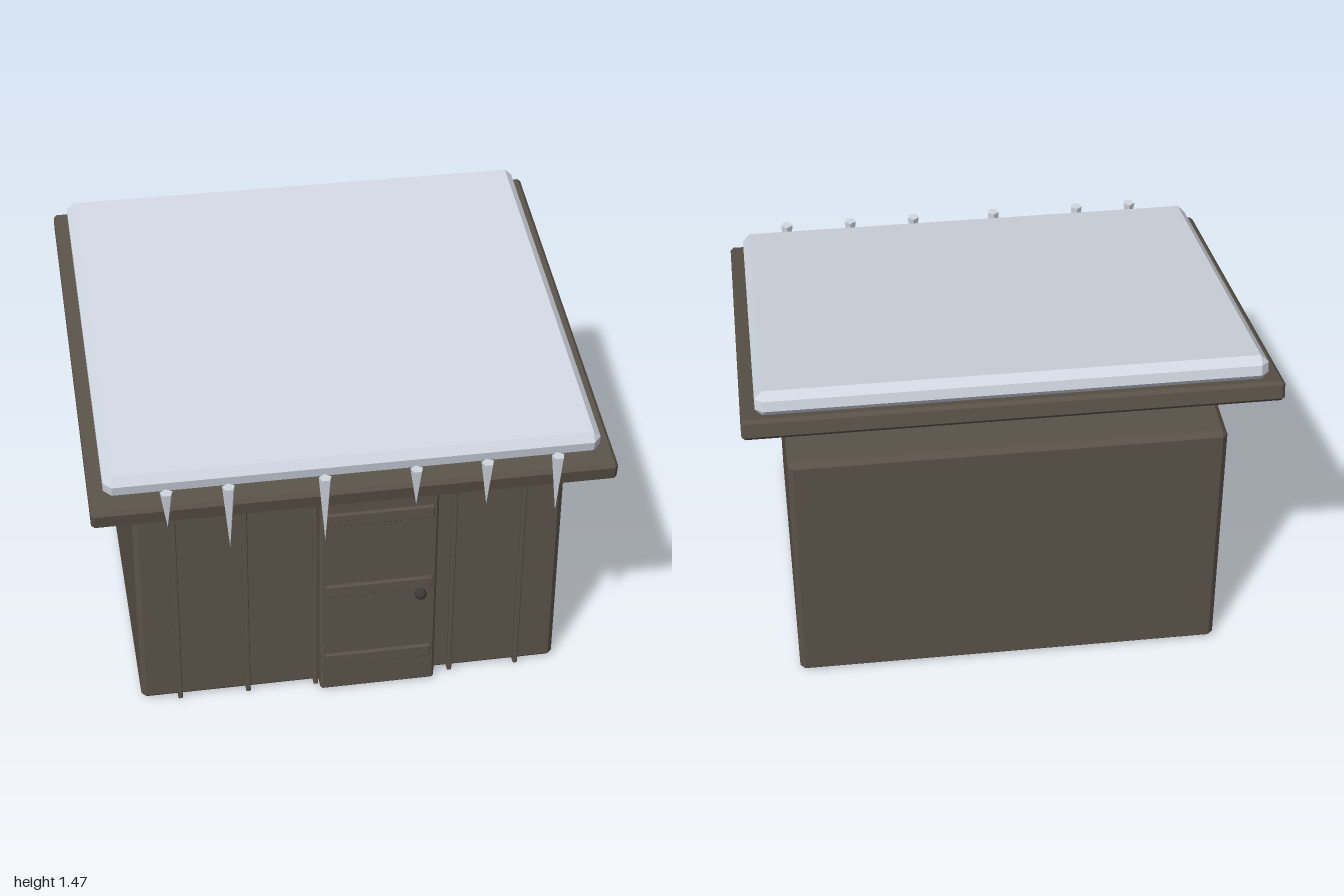
import * as THREE from 'three';
import { ConvexGeometry } from 'three/addons/geometries/ConvexGeometry.js';

const mat = (name, color) => {
  const m = new THREE.MeshStandardMaterial({ color, flatShading: true });
  m.name = name;
  return m;
};

// Box with every edge cut at 45 degrees
function chamferBox(w, h, d, c) {
  const x = w / 2, y = h / 2, z = d / 2, pts = [];
  for (const i of [-1, 1]) for (const j of [-1, 1]) for (const k of [-1, 1]) {
    pts.push(
      new THREE.Vector3(i * x, j * (y - c), k * (z - c)),
      new THREE.Vector3(i * (x - c), j * y, k * (z - c)),
      new THREE.Vector3(i * (x - c), j * (y - c), k * z));
  }
  return new ConvexGeometry(pts);
}

export function createModel() {
  const model = new THREE.Group();
  model.name = 'snowyShed';
  const wood = mat('darkWood', 0x5a5248);
  const snow = mat('snowAndIce', 0xd0d6e0);
  const iron = mat('darkIron', 0x3b3835);

  const add = (name, geometry, material, x, y, z, tilt = 0) => {
    const mesh = new THREE.Mesh(geometry, material);
    mesh.name = name;
    mesh.position.set(x, y, z);
    mesh.rotation.x = tilt;
    model.add(mesh);
    return mesh;
  };
  // Place a chamfered box by its limits
  const block = (name, [x0, x1], [y0, y1], [z0, z1], c) =>
    add(name, chamferBox(x1 - x0, y1 - y0, z1 - z0, c), wood,
      (x0 + x1) / 2, (y0 + y1) / 2, (z0 + z1) / 2);

  // Hut body
  block('walls', [-0.84, 0.84], [0.003, 1.055], [-0.7, 0.668], 0.02);

  // Vertical battens over the plank joints
  for (let i = 0; i < 6; i++) {
    const x = -0.687 + i * 0.2735;
    block('batten', [x - 0.009, x + 0.009], [0.005, 1.02], [0.65, 0.688], 0.003);
  }

  // Door with three cross boards and a lintel
  block('door', [-0.127, 0.335], [0.004, 0.945], [0.65, 0.724], 0.01);
  for (const y of [0.161, 0.503, 0.845]) {
    block('doorBoard', [-0.11, 0.315], [y - 0.027, y + 0.027], [0.71, 0.739], 0.004);
  }
  block('lintel', [-0.2, 0.41], [0.954, 1.005], [0.65, 0.755], 0.005);
  add('doorKnob', new THREE.IcosahedronGeometry(0.024, 1), iron, 0.267, 0.457, 0.743);

  // Roof slab and the snow lying on it, both rising to the back
  const slope = 0.2;
  add('roof', chamferBox(2, 0.08, 1.73, 0.013), wood, 0, 1.186, -0.017, slope);
  add('snowLayer', chamferBox(1.89, 0.1, 1.635, 0.03), snow, 0, 1.27, -0.025, slope);

  // Icicles along the front eave: x and tip height
  const top = 1.135;
  for (const [x, tip] of [[-0.72, 0.98], [-0.49, 0.86], [-0.13, 0.848],
    [0.215, 0.975], [0.485, 0.945], [0.755, 0.885]]) {
    const h = top - tip;
    add('icicle', new THREE.ConeGeometry(0.025, h, 5), snow, x, top - h / 2, 0.853, Math.PI);
  }
  return model;
}
